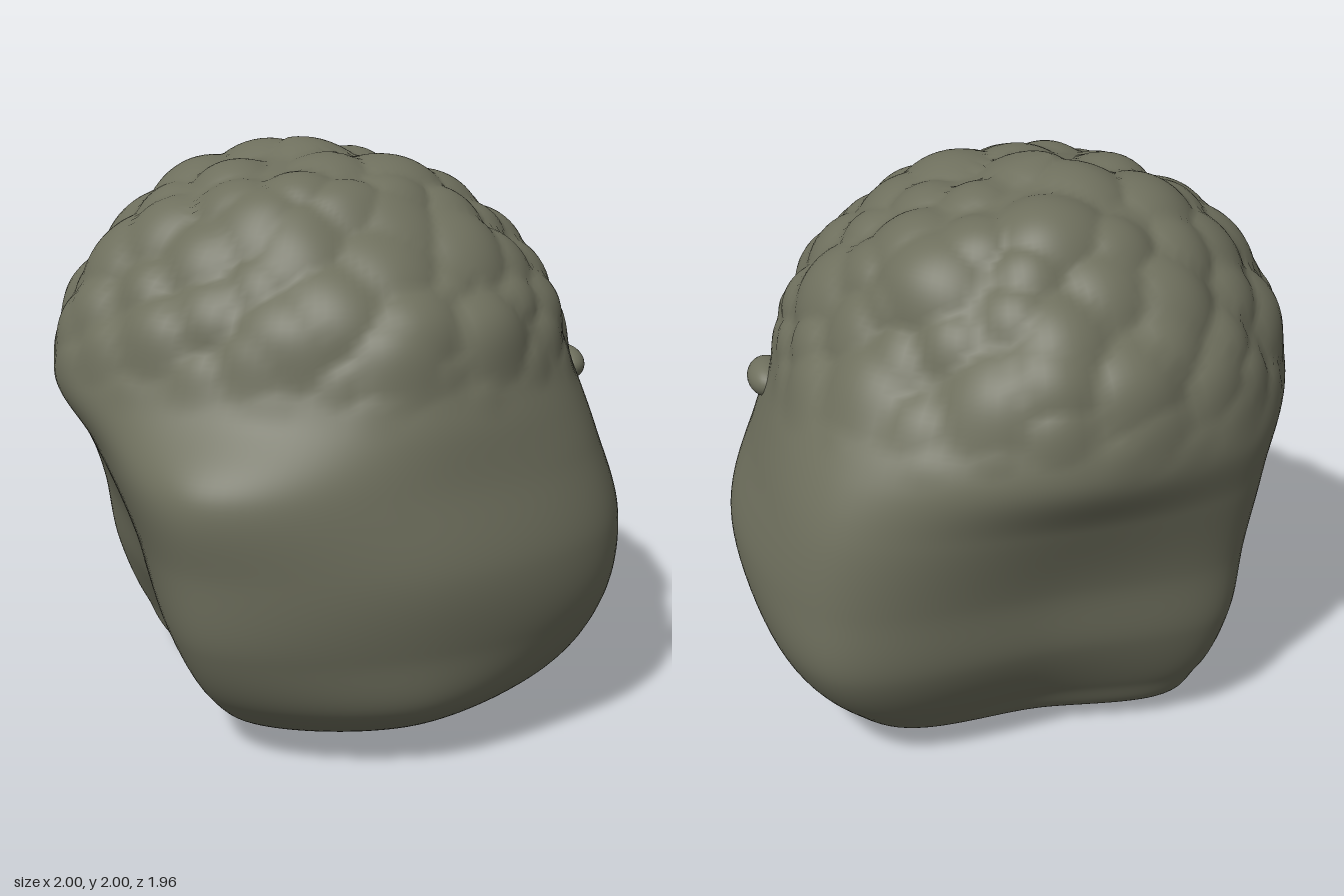
import * as THREE from 'three';

// Cross-sections from bottom to top: height, then radii every 45 degrees from +x towards +z
const SECTIONS = [
  [0.04, [.55, .50, .55, .56, .44, .64, .46, .62]],
  [0.20, [.83, .84, .86, .83, .56, .82, .61, .88]],
  [0.45, [.95, 1.01, .94, .98, .70, .92, .74, 1.06]],
  [0.72, [1.00, 1.04, .98, 1.03, .78, .95, .79, 1.08]],
  [1.00, [.91, .96, .93, 1.06, .89, .99, .89, 1.05]],
  [1.23, [.83, .87, .88, .88, 1.00, 1.00, .98, .95]],
  [1.50, [.75, .76, .76, .76, .91, .90, .89, .75]],
  [1.75, [.54, .53, .49, .57, .70, .70, .67, .60]],
  [1.90, [.25, .27, .30, .38, .47, .49, .47, .35]],
];
const SIDES = 8;

function seeded(seed) {
  return () => (seed = (seed * 16807) % 2147483647) / 2147483647;
}

function catmull(a, b, c, d, t) {
  return b + 0.5 * t * (c - a + t * (2 * a - 5 * b + 4 * c - d + t * (3 * (b - c) + d - a)));
}

function catmullPoint([a, b, c, d], t) {
  return new THREE.Vector3(
    catmull(a.x, b.x, c.x, d.x, t),
    catmull(a.y, b.y, c.y, d.y, t),
    catmull(a.z, b.z, c.z, d.z, t));
}

// Control rings closed by a pole at each end
function controlRings() {
  const pole = (x, y, z) => Array.from({ length: SIDES }, () => new THREE.Vector3(x, y, z));
  const rings = SECTIONS.map(([y, radii]) => radii.map((r, k) => {
    const a = (k / SIDES) * Math.PI * 2;
    return new THREE.Vector3(r * Math.cos(a), y, r * Math.sin(a));
  }));
  return [pole(0, 0, 0), ...rings, pole(-0.14, 1.98, -0.1)];
}

// Smooth surface point: u in sides around, v in rings upwards
function surfacePoint(rings, u, v) {
  const last = rings.length - 1;
  const j = Math.min(Math.floor(v), last - 1);
  const i = Math.floor(u);
  const across = [-1, 0, 1, 2].map((dj) => {
    const ring = rings[THREE.MathUtils.clamp(j + dj, 0, last)];
    return catmullPoint([-1, 0, 1, 2].map((di) => ring[(i + di + SIDES) % SIDES]), u - i);
  });
  return catmullPoint(across, v - j);
}

// Rounded lumps scattered in a spiral over the crown
function makeLumps(rings) {
  const random = seeded(4711);
  const count = 105;
  return Array.from({ length: count }, (_, i) => {
    const t = Math.sqrt((i + 0.5) / count);
    const u = ((i * 0.618034 + 0.03 * random()) % 1) * SIDES;
    const fade = 1 - 0.4 * THREE.MathUtils.smoothstep(t, 0.75, 1);
    return {
      centre: surfacePoint(rings, u, rings.length - 1 - 4 * t),
      radius: (0.1 + 0.1 * random()) * fade,
    };
  });
}

function rockGeometry() {
  const around = 144, up = 140;
  const rings = controlRings();
  const lumps = makeLumps(rings);
  const points = [], index = [];
  for (let j = 0; j <= up; j++) {
    for (let i = 0; i < around; i++) {
      points.push(surfacePoint(rings, (i / around) * SIDES, (j / up) * (rings.length - 1)));
    }
  }
  for (let j = 0; j < up; j++) {
    for (let i = 0; i < around; i++) {
      const n = (i + 1) % around;
      const a = j * around + i, b = j * around + n, c = a + around, d = b + around;
      if (j > 0) index.push(a, c, b);
      if (j < up - 1) index.push(b, c, d);
    }
  }
  // Push the crown out into soft lumps and flatten the base
  const centre = new THREE.Vector3(-0.08, 0.85, -0.05);
  for (const p of points) {
    const weight = THREE.MathUtils.smoothstep(p.y, 1.15, 1.5);
    if (weight > 0) {
      let height = 0;
      for (const lump of lumps) {
        const q = 1 - p.distanceToSquared(lump.centre) / lump.radius ** 2;
        if (q > 0) height = Math.max(height, 0.27 * lump.radius * q);
      }
      const outward = p.clone().sub(centre).normalize();
      p.addScaledVector(outward, weight * (height - 0.015));
    }
    p.y = THREE.MathUtils.clamp(p.y, 0, 2);
  }
  const geometry = new THREE.BufferGeometry().setFromPoints(points);
  geometry.setIndex(index);
  geometry.computeVertexNormals();
  return geometry;
}

export function createModel() {
  const stone = new THREE.MeshStandardMaterial({ color: 0x6e6f5d });
  stone.name = 'stone';
  const model = new THREE.Group();
  model.name = 'rock';

  const boulder = new THREE.Mesh(rockGeometry(), stone);
  boulder.name = 'boulder';
  model.add(boulder);

  // Small ledge on the left flank
  const ledge = new THREE.Mesh(new THREE.SphereGeometry(1, 32, 20), stone);
  ledge.name = 'sideLedge';
  ledge.scale.set(0.07, 0.065, 0.11);
  ledge.position.set(0.83, 1.17, 0.15);
  model.add(ledge);

  return model;
}
